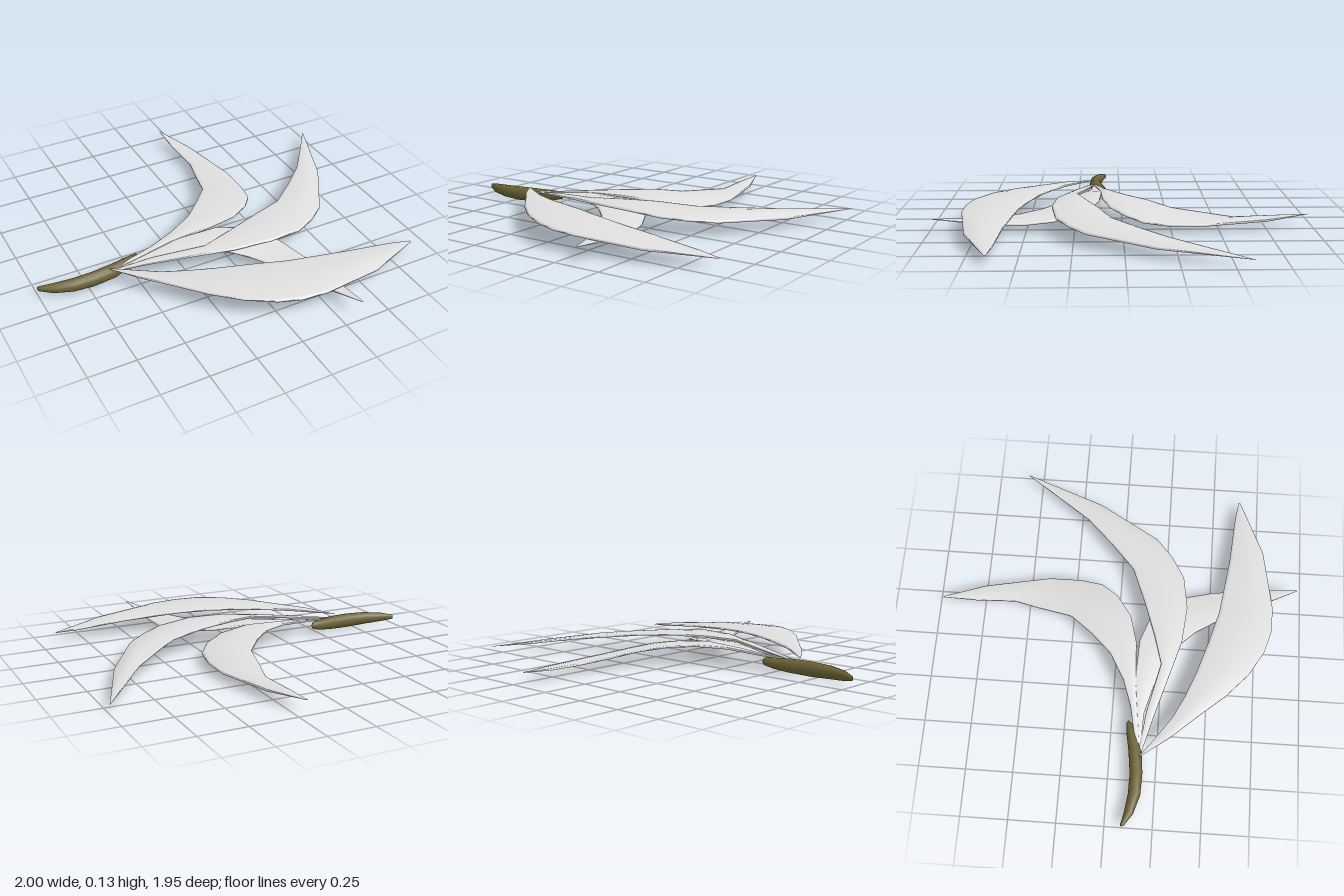
import * as THREE from 'three';

const leafGrey = new THREE.MeshStandardMaterial({ color: 0xdedede });
leafGrey.name = 'leaf grey';
const podOlive = new THREE.MeshStandardMaterial({ color: 0x6c6334 });
podOlive.name = 'pod olive';

// Smooth surface through closed rings; every ring has the same number of [x, y, z] points
function skin(rings, name, material) {
  const n = rings[0].length, index = [];
  for (let i = 0; i < rings.length - 1; i++) {
    for (let j = 0; j < n; j++) {
      const a = i * n + j, b = i * n + (j + 1) % n, c = a + n, d = b + n;
      index.push(a, b, c, b, d, c);
    }
  }
  const geo = new THREE.BufferGeometry();
  geo.setAttribute('position', new THREE.Float32BufferAttribute(rings.flat(2), 3));
  geo.setIndex(index);
  geo.computeVertexNormals();
  const mesh = new THREE.Mesh(geo, material);
  mesh.name = name;
  return mesh;
}

// Thin solid leaf blade between its left and right edges, slightly arched across
function leaf(name, left, right) {
  const across = [0, 0.06, 0.28, 0.5, 0.72, 0.94, 1];
  const rings = left.map((l, i) => {
    const r = right[i];
    const width = Math.hypot(r[0] - l[0], r[2] - l[2]);
    const half = 0.005 * Math.min(1, width / 0.1);
    const side = (sign) => across.map((t) => {
      const p = l.map((v, k) => v + (r[k] - v) * t);
      p[1] += 0.04 * width * Math.sin(Math.PI * t) + sign * half;
      return p;
    });
    return [...side(1), ...side(-1).reverse()];
  });
  return skin(rings, name, leafGrey);
}

// Curved pod swept along x: each station is x, z, y, half depth, half height
function pod() {
  const stations = [
    [-1, 0.09, 0.04, 0, 0], [-0.995, 0.092, 0.04, 0.01, 0.013],
    [-0.93, 0.122, 0.04, 0.025, 0.026], [-0.83, 0.145, 0.04, 0.033, 0.035],
    [-0.72, 0.148, 0.04, 0.034, 0.04], [-0.6, 0.136, 0.043, 0.036, 0.038],
    [-0.51, 0.112, 0.048, 0.028, 0.03], [-0.455, 0.095, 0.053, 0.015, 0.02],
    [-0.44, 0.09, 0.054, 0, 0],
  ];
  const sides = 14;
  const rings = stations.map(([x, z, y, rz, ry]) =>
    Array.from({ length: sides }, (_, j) => {
      const a = (j / sides) * Math.PI * 2;
      return [x, y + ry * Math.cos(a), z + rz * Math.sin(a)];
    }));
  return skin(rings, 'pod', podOlive);
}

export function createModel() {
  const group = new THREE.Group();
  group.name = 'leafSprig';
  group.add(pod());

  // Leaf sweeping to the back
  group.add(leaf('backLeaf', [
    [-0.64, 0.06, 0.15], [-0.37, 0.085, 0.095], [-0.235, 0.1, 0.05], [-0.09, 0.107, -0.03], [0.02, 0.103, -0.14],
    [0.12, 0.083, -0.26], [0.165, 0.063, -0.45], [0.2, 0.05, -0.58], [0.19, 0.055, -0.8], [0.19, 0.065, -0.98],
  ], [
    [-0.64, 0.06, 0.16], [-0.26, 0.095, 0.118], [-0.02, 0.105, 0.106], [0.14, 0.093, 0.065], [0.26, 0.076, -0.015],
    [0.33, 0.056, -0.105], [0.352, 0.045, -0.23], [0.352, 0.042, -0.4], [0.28, 0.05, -0.75], [0.195, 0.065, -0.98],
  ]));

  // Long leaf reaching to the side
  group.add(leaf('sideLeaf', [
    [-0.64, 0.06, 0.15], [-0.4, 0.085, 0.18], [-0.13, 0.107, 0.245], [0.03, 0.113, 0.2], [0.22, 0.113, 0.135],
    [0.42, 0.1, 0.06], [0.57, 0.088, -0.07], [0.72, 0.075, -0.215], [0.86, 0.058, -0.4], [0.995, 0.045, -0.585],
  ], [
    [-0.64, 0.06, 0.16], [-0.45, 0.08, 0.214], [-0.22, 0.098, 0.283], [0, 0.112, 0.35], [0.2, 0.112, 0.37],
    [0.385, 0.096, 0.344], [0.51, 0.083, 0.275], [0.62, 0.072, 0.185], [0.825, 0.053, -0.145], [0.996, 0.045, -0.58],
  ]));

  // Lower leaf bending to the front, beneath the others
  group.add(leaf('lowerLeaf', [
    [-0.64, 0.055, 0.15], [-0.37, 0.08, 0.115], [-0.235, 0.095, 0.11], [0, 0.1, 0.122], [0.15, 0.085, 0.175],
    [0.24, 0.07, 0.27], [0.285, 0.052, 0.36], [0.325, 0.045, 0.51], [0.345, 0.055, 0.7], [0.362, 0.085, 0.97],
  ], [
    [-0.64, 0.055, 0.16], [-0.4, 0.075, 0.17], [-0.26, 0.085, 0.21], [-0.15, 0.09, 0.254], [-0.06, 0.088, 0.3],
    [0, 0.082, 0.345], [0.075, 0.07, 0.42], [0.155, 0.06, 0.54], [0.24, 0.058, 0.72], [0.352, 0.085, 0.97],
  ]));

  // Broad leaf along the front
  group.add(leaf('frontLeaf', [
    [-0.64, 0.085, 0.155], [-0.53, 0.09, 0.24], [-0.42, 0.095, 0.32], [-0.3, 0.1, 0.38], [-0.165, 0.105, 0.435],
    [0, 0.107, 0.49], [0.19, 0.1, 0.545], [0.51, 0.08, 0.595], [0.78, 0.055, 0.62], [0.9, 0.045, 0.638],
  ], [
    [-0.64, 0.085, 0.16], [-0.53, 0.095, 0.314], [-0.41, 0.1, 0.45], [-0.29, 0.105, 0.593], [-0.16, 0.107, 0.714],
    [-0.02, 0.104, 0.798], [0.1, 0.097, 0.833], [0.235, 0.09, 0.838], [0.58, 0.065, 0.782], [0.9, 0.045, 0.648],
  ]));
  return group;
}
